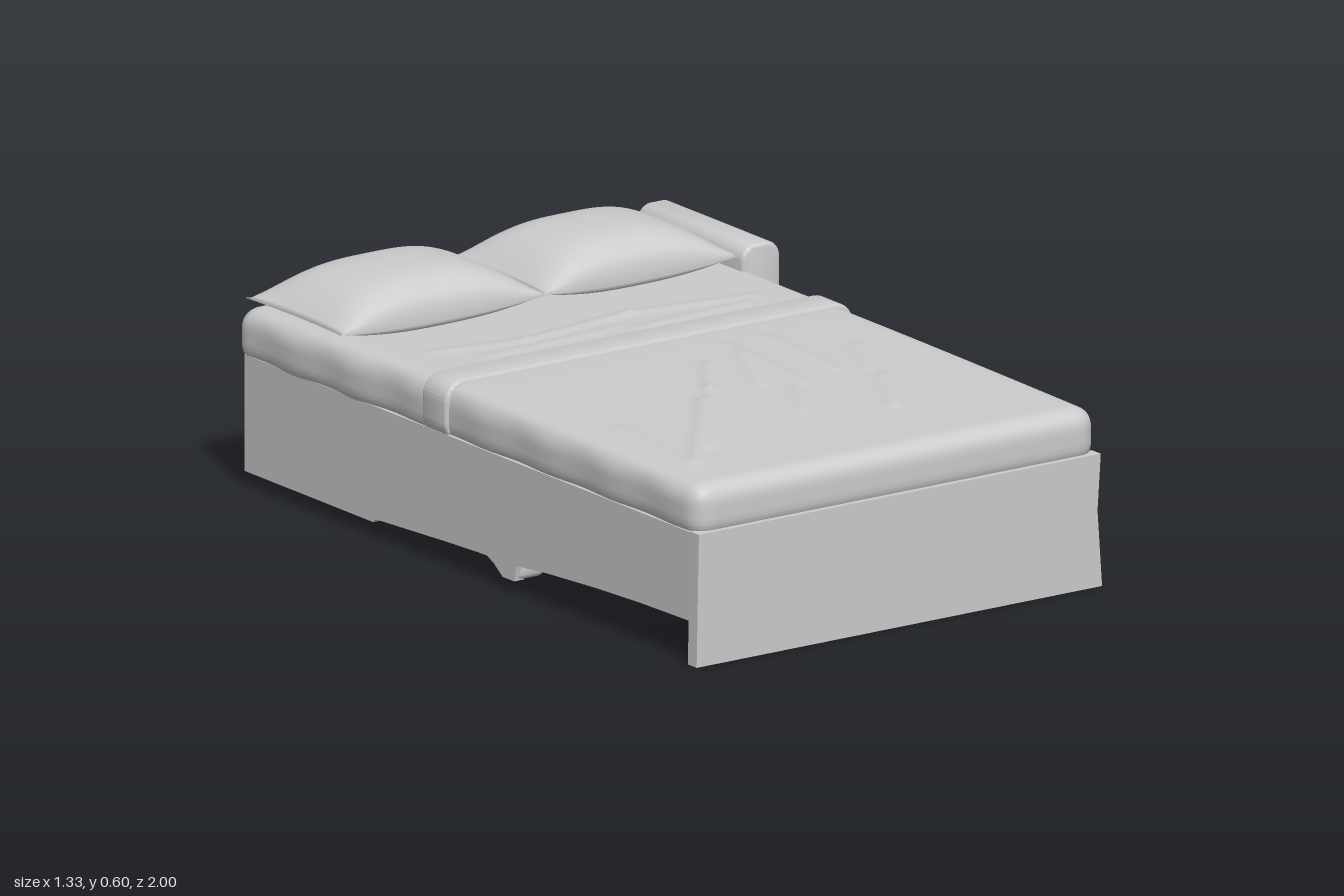
import * as THREE from 'three';
import { mergeVertices, toCreasedNormals } from 'three/addons/utils/BufferGeometryUtils.js';

const material = new THREE.MeshStandardMaterial({ color: 0xcccccc, side: THREE.DoubleSide });
const L = -0.65, R = 0.585, CX = (L + R) / 2;

function add(parent, name, geometry) {
  const mesh = new THREE.Mesh(geometry, material);
  mesh.name = name;
  parent.add(mesh);
  return mesh;
}

// Move every vertex by a rule, then weld and smooth
function warp(geometry, rule) {
  geometry.deleteAttribute('uv');
  geometry.deleteAttribute('normal');
  const pos = geometry.attributes.position, p = new THREE.Vector3();
  for (let i = 0; i < pos.count; i++) {
    rule(p.fromBufferAttribute(pos, i));
    pos.setXYZ(i, p.x, p.y, p.z);
  }
  const welded = mergeVertices(geometry, 1e-5);
  welded.computeVertexNormals();
  return welded;
}

// Finely divided box with rounded edges, given by its limits
function softBox([x0, x1], [y0, y1], [z0, z1], r, seg, rule = () => {}) {
  const size = new THREE.Vector3(x1 - x0, y1 - y0, z1 - z0);
  const half = size.clone().multiplyScalar(0.5).subScalar(r);
  const low = half.clone().negate(), inner = new THREE.Vector3();
  const centre = new THREE.Vector3(x0 + x1, y0 + y1, z0 + z1).multiplyScalar(0.5);
  return warp(new THREE.BoxGeometry(size.x, size.y, size.z, ...seg), (p) => {
    inner.copy(p).clamp(low, half);
    p.sub(inner).setLength(r).add(inner).add(centre);
    rule(p);
  });
}

// Rounded rectangle in x/y drawn out along z with a small bevel
function roundedBar([x0, x1], [y0, y1], [z0, z1], r, bevel = 0.01) {
  const s = new THREE.Shape();
  const a = x0 + bevel, b = x1 - bevel, c = y0 + bevel, d = y1 - bevel;
  s.absarc(b - r, c + r, r, -Math.PI / 2, 0);
  s.absarc(b - r, d - r, r, 0, Math.PI / 2);
  s.absarc(a + r, d - r, r, Math.PI / 2, Math.PI);
  s.absarc(a + r, c + r, r, Math.PI, Math.PI * 1.5);
  const g = new THREE.ExtrudeGeometry(s, {
    depth: z1 - z0 - 2 * bevel, bevelSize: bevel, bevelThickness: bevel, bevelSegments: 3, curveSegments: 8,
  });
  g.translate(0, 0, z0 + bevel);
  return toCreasedNormals(g, 0.7);
}

function extrudePoints(points, depth) {
  const shape = new THREE.Shape(points.map(([x, y]) => new THREE.Vector2(x, y)));
  return new THREE.ExtrudeGeometry(shape, { depth, bevelEnabled: false });
}

function box([x0, x1], [y0, y1], [z0, z1]) {
  return new THREE.BoxGeometry(x1 - x0, y1 - y0, z1 - z0)
    .translate((x0 + x1) / 2, (y0 + y1) / 2, (z0 + z1) / 2);
}

// Cloth creases: x1, z1, x2, z2, height
const creases = [
  [-0.52, 0.8, -0.2, 0.38, 0.007], [-0.42, 0.72, -0.12, 0.3, 0.006], [-0.12, 0.3, 0.0, 0.12, 0.006],
  [-0.55, 0.85, -0.5, 0.45, 0.004], [0.0, 0.35, 0.12, 0.1, 0.005], [0.1, 0.4, 0.14, 0.02, 0.006],
  [0.24, 0.35, 0.26, 0.02, 0.005], [0.18, 0.68, 0.3, 0.45, 0.006], [0.3, 0.4, 0.4, 0.2, 0.005],
  [-0.04, 0.6, 0.06, 0.42, 0.005], [-0.5, -0.36, -0.25, -0.31, 0.005], [-0.25, -0.31, 0.1, -0.36, 0.006],
  [0.1, -0.36, 0.45, -0.3, 0.005], [-0.4, -0.25, 0.0, -0.27, 0.004], [0.05, -0.24, 0.4, -0.26, 0.004],
];
function creaseHeight(x, z) {
  let h = 0;
  for (const [x1, z1, x2, z2, amount] of creases) {
    const dx = x2 - x1, dz = z2 - z1;
    const t = THREE.MathUtils.clamp(((x - x1) * dx + (z - z1) * dz) / (dx * dx + dz * dz), 0, 1);
    const dist = Math.hypot(x - x1 - t * dx, z - z1 - t * dz);
    h += amount * Math.exp(-((dist / 0.016) ** 2));
  }
  return h;
}

function pillow(x0, x1) {
  const cx = (x0 + x1) / 2, hw = (x1 - x0) / 2;
  return warp(new THREE.BoxGeometry(2, 2, 2, 48, 1, 36), (p) => {
    const u = p.x, v = p.z, side = Math.sign(p.y);
    const puff = Math.pow(1 - Math.abs(u) ** 3, 1.1) * Math.sqrt(1 - v ** 4);
    // Edges pull in between the corners
    p.x = cx + hw * u * (1 - 0.025 * (1 - v * v));
    p.z = -0.728 + 0.21 * v * (1 - 0.04 * (1 - u * u));
    p.y = 0.503 + puff * (side > 0 ? 0.098 : -0.035) - 0.015 * v * v * (1 - u * u);
  });
}

export function createModel() {
  const bed = new THREE.Group();
  bed.name = 'bed';

  // Frame: side rails with a sloping lower edge and a small foot
  const frame = new THREE.Group();
  frame.name = 'frame';
  bed.add(frame);
  const railProfile = [
    [-0.965, 0.04], [-0.41, 0.04], [-0.4, 0.05], [-0.1, 0.065], [0.08, 0.072], [0.11, 0.06], [0.15, 0.032],
    [0.2, 0.032], [0.21, 0.075], [0.35, 0.088], [0.55, 0.1], [0.75, 0.108], [0.965, 0.112],
    [0.965, 0.345], [-0.965, 0.345],
  ];
  for (const [name, outer] of [['leftRail', R], ['rightRail', L + 0.03]]) {
    add(frame, name, extrudePoints(railProfile, 0.03).rotateY(-Math.PI / 2).translate(outer, 0, 0));
  }
  for (const [name, x0, x1] of [['leftFoot', 0.49, 0.58], ['rightFoot', -0.645, -0.555]]) {
    add(frame, name, softBox([x0, x1], [0.032, 0.14], [0.13, 0.21], 0.02, [8, 8, 8]));
  }
  add(frame, 'headPanel', box([L, R], [0.04, 0.345], [-0.968, -0.935]));
  add(frame, 'basePanel', box([L + 0.01, R - 0.01], [0.115, 0.14], [-0.95, 0.96]));
  const footOutline = [[-0.657, 0], [0.592, 0], [0.578, 0.2], [0.588, 0.347], [-0.65, 0.347]];
  add(frame, 'footboard', extrudePoints(footOutline, 0.038).translate(0, 0, 0.962));

  // Mattress with creased cover
  add(bed, 'mattress', softBox([L, R + 0.005], [0.32, 0.465], [-1, 0.99], 0.05, [84, 10, 130], (p) => {
    const top = THREE.MathUtils.smoothstep(p.y, 0.42, 0.46);
    const head = THREE.MathUtils.smoothstep(-p.z, 0.3, 0.55);
    const droop = THREE.MathUtils.smoothstep(-p.z, 0.68, 0.82) * THREE.MathUtils.smoothstep(p.x, 0.45, 0.56);
    p.y += top * (0.007 * Math.cos(p.z * 1.6) + creaseHeight(p.x, p.z)) - (1 - top) * 0.03 * droop;
    p.x = CX + (p.x - CX) * (1 + 0.012 * head);
    p.x += (1 - top) * 0.003 * Math.sin(p.z * 23) * Math.sign(p.x);
  }));

  // Folded blanket band across the bed
  add(bed, 'blanketBand', roundedBar([-0.657, 0.6], [0.32, 0.483], [-0.192, -0.085], 0.045));

  add(bed, 'rightPillow', pillow(-0.668, -0.03));
  add(bed, 'leftPillow', pillow(-0.045, 0.56));

  // Padded box on the left side by the head
  add(bed, 'sideBolster', roundedBar([0.545, 0.662], [0.32, 0.536], [-0.952, -0.49], 0.032));
  return bed;
}
